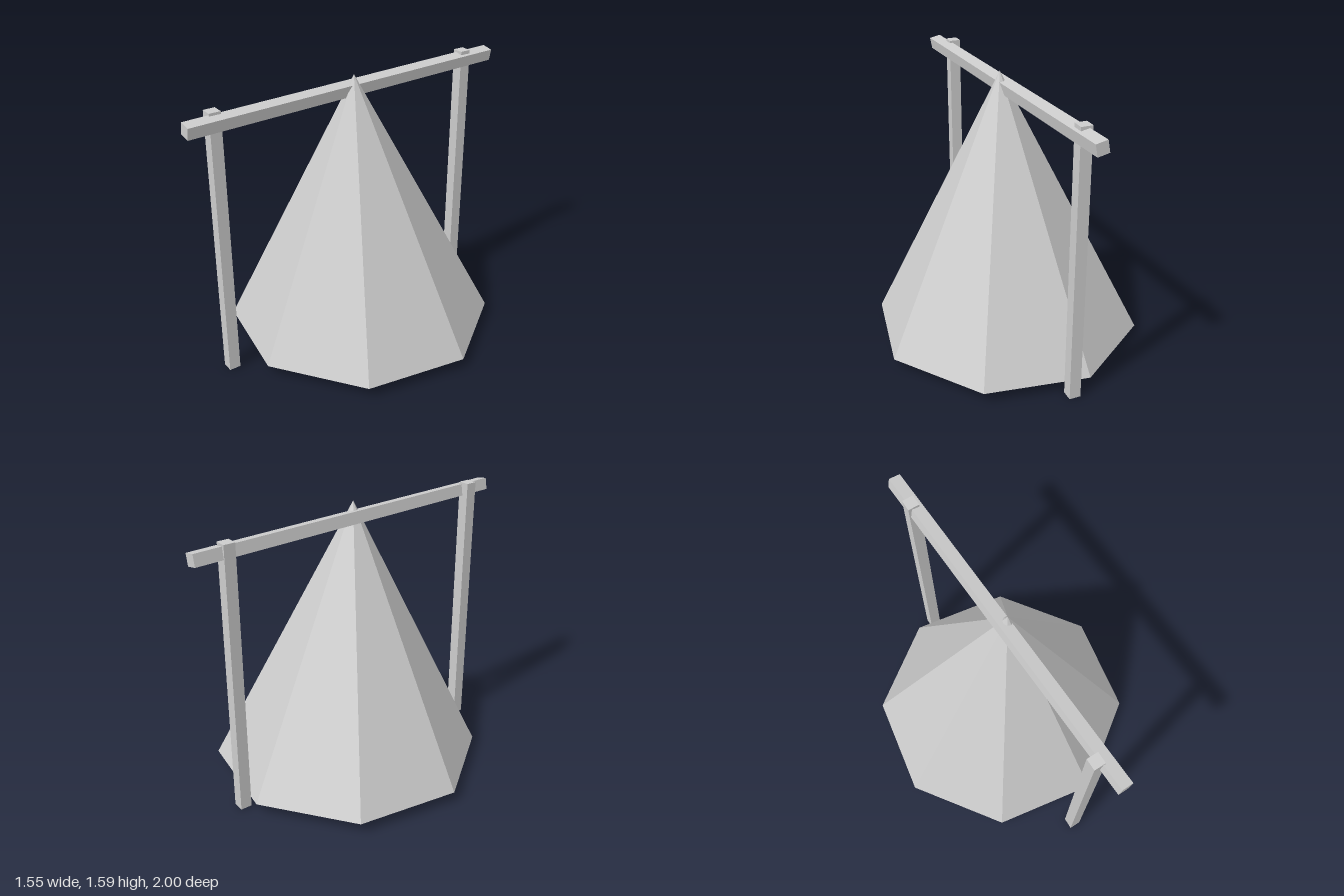
import * as THREE from 'three';

const material = new THREE.MeshStandardMaterial({ color: 0xcccccc, flatShading: true });

function addMesh(group, name, geometry, position) {
  const mesh = new THREE.Mesh(geometry, material);
  mesh.name = name;
  mesh.position.set(...position);
  group.add(mesh);
  return mesh;
}

export function createModel() {
  const group = new THREE.Group();
  group.name = 'hangingTent';

  // Eight-sided canvas with a closed floor, its tip leaning slightly forward
  const bottom = 0.065, height = 1.52, lean = 0.056;
  const cone = new THREE.ConeGeometry(0.777, height, 8);
  cone.translate(0, height / 2, 0);
  const p = cone.attributes.position;
  for (let i = 0; i < p.count; i++) p.setZ(i, p.getZ(i) + lean * p.getY(i) / height);
  cone.computeVertexNormals();
  addMesh(group, 'tentCanvas', cone, [0, bottom, -0.042]);

  // Ridge beam, turned across the tent and rolled a little about its length
  const beam = addMesh(group, 'ridgeBeam', new THREE.BoxGeometry(0.067, 0.067, 2.02), [-0.022, 1.501, -0.002]);
  beam.rotation.set(0, -0.188, -0.19, 'YXZ');

  // Upright posts, one at each end of the beam
  const postHeight = 1.552;
  for (const [name, x, z] of [['frontPost', -0.222, 0.807], ['backPost', 0.118, -0.807]]) {
    const post = addMesh(group, name, new THREE.BoxGeometry(0.065, postHeight, 0.065), [x, postHeight / 2, z]);
    post.rotation.y = -0.23;
  }

  return group;
}
